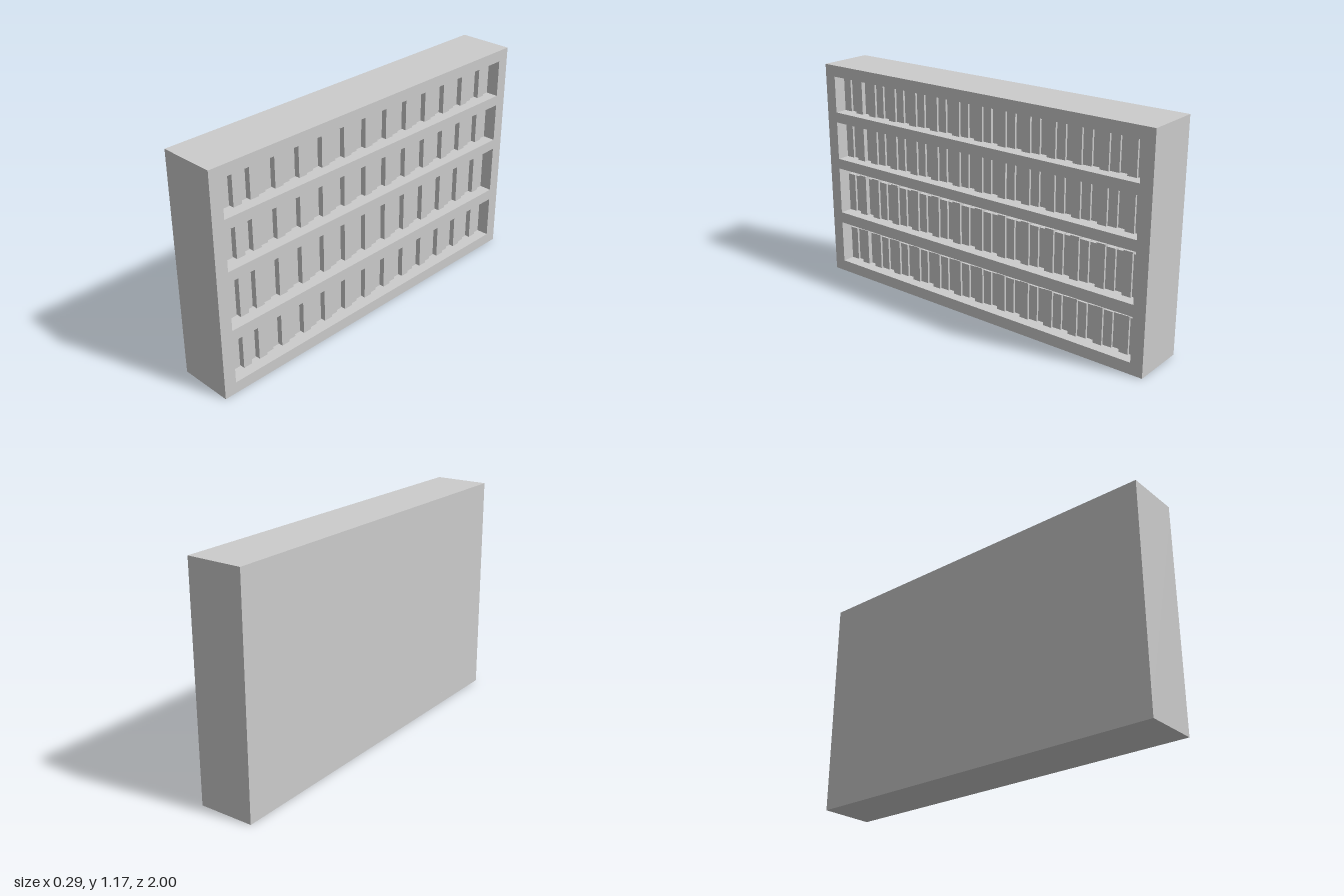
import * as THREE from 'three';

const HEIGHT = 1.175, LENGTH = 2, HALF_DEPTH = 0.145, WALL = 0.065, BACK = 0.02;
const INNER = LENGTH / 2 - WALL;

// Each opening: floor height, ceiling height and tallest book
const ROWS = [
  { floor: 0.06, ceiling: 0.29, book: 0.195 },
  { floor: 0.35, ceiling: 0.605, book: 0.222 },
  { floor: 0.66, ceiling: 0.865, book: 0.201 },
  { floor: 0.92, ceiling: 1.115, book: 0.193 },
];

// Book sizes: drop from the tallest, front face x, share of the slot filled
const SIZES = {
  tall: { drop: 0, front: 0.09, fill: 1 },
  medium: { drop: 0.055, front: 0.078, fill: 1 },
  small: { drop: 0.08, front: 0.066, fill: 0.9 },
};
const START = ['medium', 'small', 'tall', 'small'];
const CYCLE = ['tall', 'medium', 'small'];
const BOOKS = 39;

export function createModel() {
  const model = new THREE.Group();
  model.name = 'bookcase';
  const material = new THREE.MeshStandardMaterial({ color: 0xcccccc });

  // Box given by its minimum and maximum corners
  function box(name, parent, x0, x1, y0, y1, z0, z1) {
    const mesh = new THREE.Mesh(new THREE.BoxGeometry(x1 - x0, y1 - y0, z1 - z0), material);
    mesh.position.set((x0 + x1) / 2, (y0 + y1) / 2, (z0 + z1) / 2);
    mesh.name = name;
    parent.add(mesh);
  }

  // Case: base, top, two end walls, back panel
  const baseTop = ROWS[0].floor, topUnder = ROWS[3].ceiling;
  box('base', model, -HALF_DEPTH, HALF_DEPTH, 0, baseTop, -1, 1);
  box('topBoard', model, -HALF_DEPTH, HALF_DEPTH, topUnder, HEIGHT, -1, 1);
  box('frontEndWall', model, -HALF_DEPTH, HALF_DEPTH, baseTop, topUnder, INNER, 1);
  box('rearEndWall', model, -HALF_DEPTH, HALF_DEPTH, baseTop, topUnder, -1, -INNER);
  box('backPanel', model, -HALF_DEPTH, -HALF_DEPTH + BACK, baseTop, topUnder, -INNER, INNER);

  // Shelves between neighbouring openings
  for (let i = 1; i < ROWS.length; i++) {
    box('shelf', model, -HALF_DEPTH + BACK, HALF_DEPTH, ROWS[i - 1].ceiling, ROWS[i].floor, -INNER, INNER);
  }

  // Rows of books, opening towards +x, laid from +z to -z
  const slot = (2 * INNER) / BOOKS;
  for (const row of ROWS) {
    const books = new THREE.Group();
    books.name = 'bookRow';
    for (let i = 0; i < BOOKS; i++) {
      const size = SIZES[i < START.length ? START[i] : CYCLE[(i - START.length) % 3]];
      const z = INNER - i * slot;
      box('book', books, -HALF_DEPTH + BACK, size.front, row.floor,
        row.floor + row.book * (1 - size.drop), z - slot * size.fill, z);
    }
    model.add(books);
  }
  return model;
}
